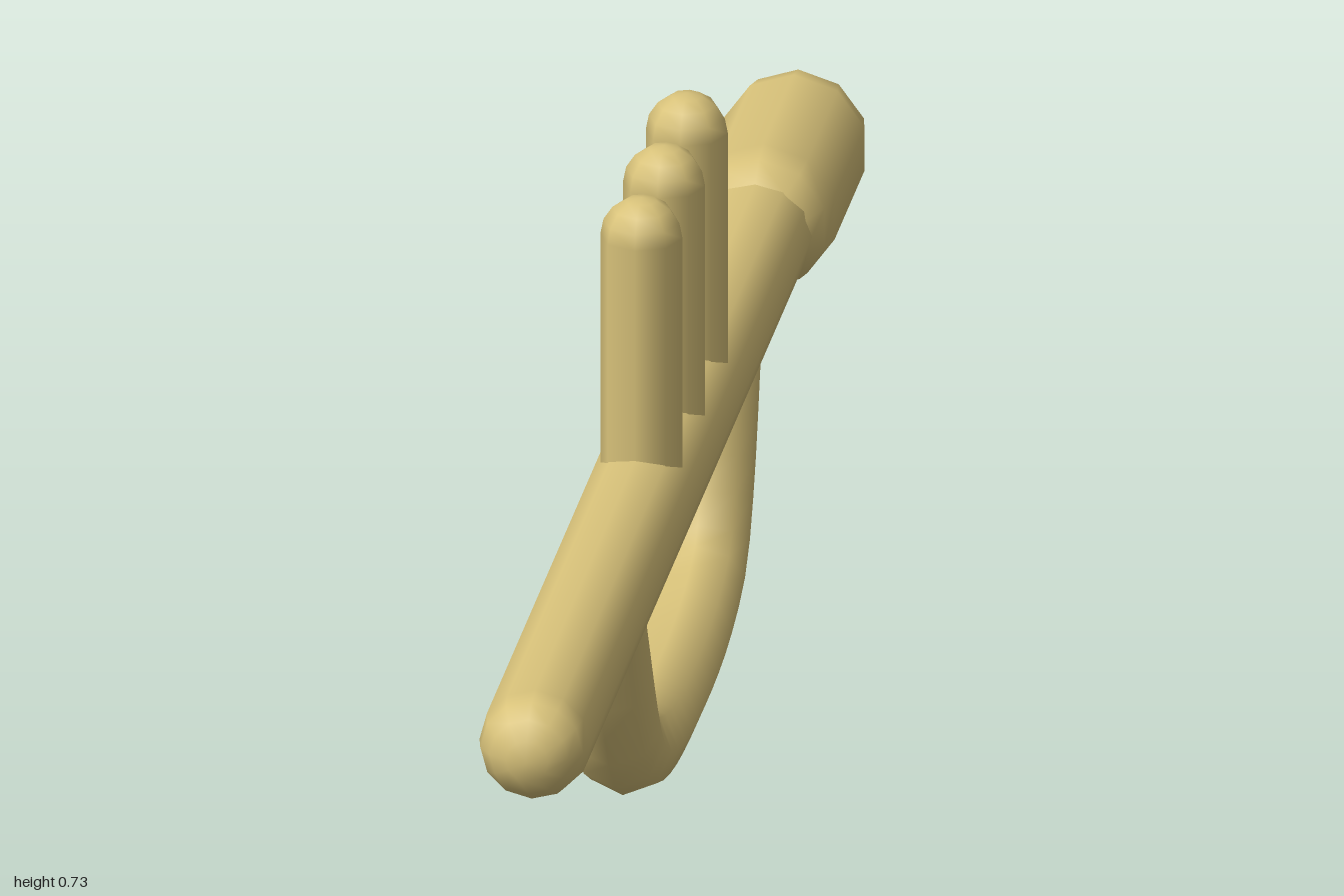
import * as THREE from 'three';

export function createModel() {
  const group = new THREE.Group();
  group.name = 'trumpet';
  const brass = new THREE.MeshStandardMaterial({ color: 0xd8c27a });
  brass.name = 'brass';

  const add = (name, geometry) => {
    const mesh = new THREE.Mesh(geometry, brass);
    mesh.name = name;
    group.add(mesh);
    return mesh;
  };

  // Round-ended rod; length includes both domes
  const rod = (radius, length, sides) =>
    new THREE.CapsuleGeometry(radius, length - 2 * radius, 4, sides).rotateY(Math.PI / 2);

  // Long main pipe, its back end buried in the wider end piece
  add('mainPipe', rod(0.065, 1.78, 12).rotateX(Math.PI / 2)).position.set(0, 0.361, 0.11);

  // Wider rounded piece at the back
  add('endPiece', rod(0.087, 0.388, 10).rotateX(Math.PI / 2)).position.set(0, 0.365, -0.806);

  // Three upright valves
  [0.175, 0.013, -0.15].forEach((z, i) => {
    add('valve' + (i + 1), rod(0.048, 0.385, 8)).position.set(0, 0.5425, z);
  });

  // Curved pipe below, its ends buried in the main pipe
  const path = new THREE.CatmullRomCurve3(
    [
      [0.36, 0.49], [0.31, 0.46], [0.18, 0.383], [0.115, 0.327], [0.073, 0.214], [0.056, 0.035],
      [0.07, -0.14], [0.11, -0.247], [0.19, -0.3], [0.314, -0.343], [0.36, -0.358],
    ].map(([y, z]) => new THREE.Vector3(0, y, z)), false, 'centripetal');
  add('lowerPipe', new THREE.TubeGeometry(path, 24, 0.054, 8, false));

  return group;
}
